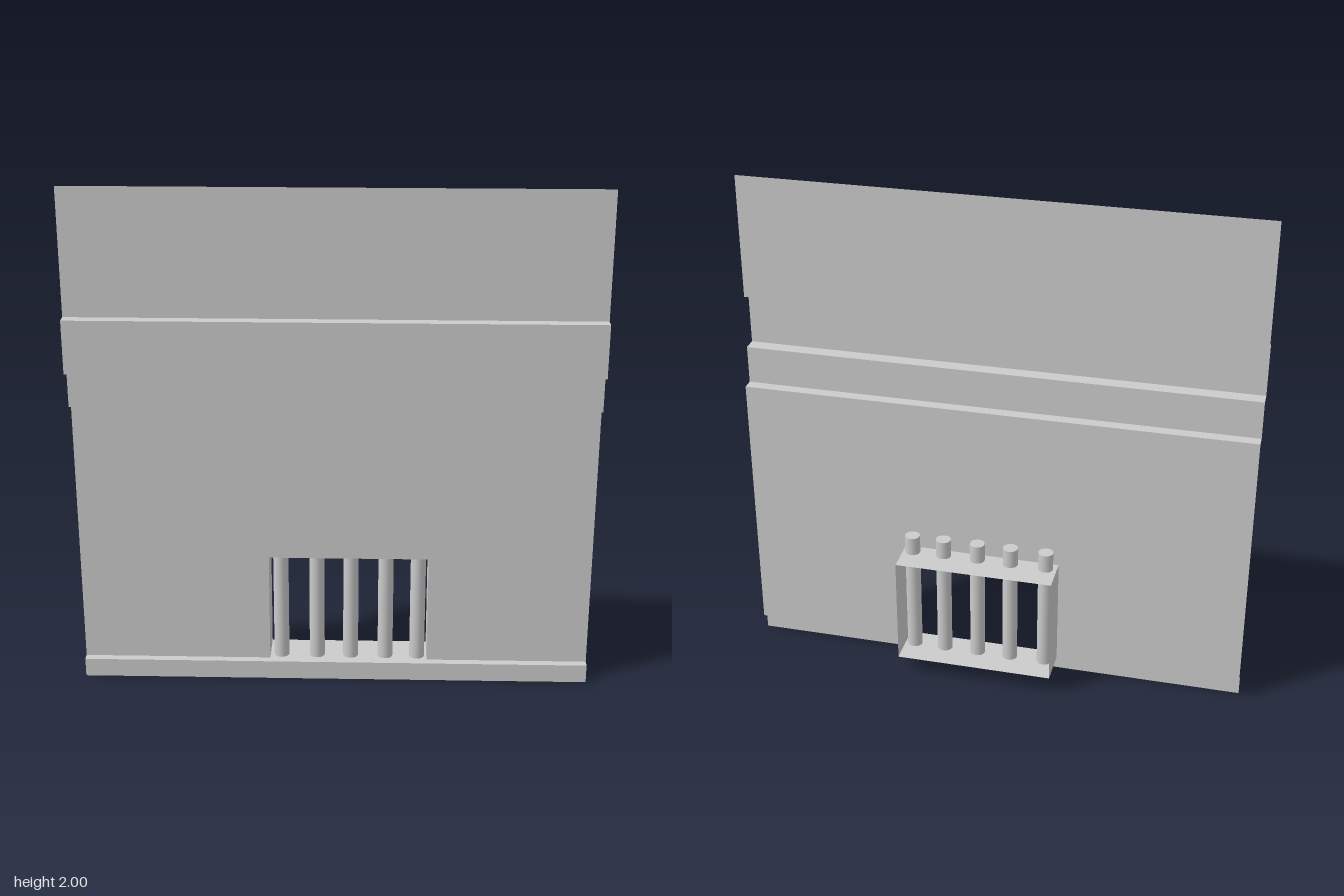
import * as THREE from 'three';

const material = new THREE.MeshStandardMaterial({ color: 0xcccccc, side: THREE.DoubleSide });

// Window opening and wall levels
const LEFT = -0.26, RIGHT = 0.365, BOTTOM = 0.075, TOP = 0.518;
const WALL_Z = 0.025, BACK_Z = -0.125, WALL_TOP = 1.155;

function add(parent, name, geometry) {
  const mesh = new THREE.Mesh(geometry, material);
  mesh.name = name;
  parent.add(mesh);
  return mesh;
}

// Horizontal moulding: one full-width strip per segment of a [z, y] profile, bottom to top
function addMoulding(parent, name, profile) {
  const moulding = new THREE.Group();
  moulding.name = name;
  for (let i = 0; i < profile.length - 1; i++) {
    const [z0, y0] = profile[i], [z1, y1] = profile[i + 1];
    const strip = add(moulding, name + 'Strip', new THREE.PlaneGeometry(2, Math.hypot(z1 - z0, y1 - y0)));
    strip.position.set(0, (y0 + y1) / 2, (z0 + z1) / 2);
    strip.rotation.x = Math.atan2(z1 - z0, y1 - y0);
  }
  parent.add(moulding);
}

export function createModel() {
  const group = new THREE.Group();
  group.name = 'barredWall';

  // Main wall sheet, notched at the bottom for the window
  const outline = new THREE.Shape([
    [-1, BOTTOM], [LEFT, BOTTOM], [LEFT, TOP], [RIGHT, TOP], [RIGHT, BOTTOM],
    [1, BOTTOM], [1, WALL_TOP], [-1, WALL_TOP],
  ].map(([x, y]) => new THREE.Vector2(x, y)));
  add(group, 'wall', new THREE.ShapeGeometry(outline)).position.z = WALL_Z;

  // Base board, stepped cornice and the upper wall
  addMoulding(group, 'baseboard', [[0.057, 0], [0.057, BOTTOM], [WALL_Z, BOTTOM]]);
  addMoulding(group, 'cornice', [
    [WALL_Z, WALL_TOP], [0.07, WALL_TOP], [0.07, 1.305],
    [0.125, 1.305], [0.125, 1.512], [0.082, 1.512],
  ]);
  addMoulding(group, 'upperWall', [[0.082, 1.512], [0.082, 2]]);

  // Window reveal: four sheets, open at front and back
  const reveal = new THREE.Group();
  reveal.name = 'windowReveal';
  const depth = WALL_Z - BACK_Z, midZ = (WALL_Z + BACK_Z) / 2;
  for (const [name, x, turn] of [['revealRight', LEFT, 1], ['revealLeft', RIGHT, -1]]) {
    const side = add(reveal, name, new THREE.PlaneGeometry(depth, TOP - BOTTOM));
    side.rotation.y = turn * Math.PI / 2;
    side.position.set(x, (TOP + BOTTOM) / 2, midZ);
  }
  for (const [name, y, turn] of [['revealSill', BOTTOM, -1], ['revealHead', TOP, 1]]) {
    const sheet = add(reveal, name, new THREE.PlaneGeometry(RIGHT - LEFT, depth));
    sheet.rotation.x = turn * Math.PI / 2;
    sheet.position.set((LEFT + RIGHT) / 2, y, midZ);
  }
  group.add(reveal);

  // Round bars running through sill and head
  const bars = new THREE.Group();
  bars.name = 'windowBars';
  const barGeometry = new THREE.CylinderGeometry(0.03, 0.03, 0.573, 16);
  for (const x of [-0.215, -0.073, 0.061, 0.199, 0.326]) {
    add(bars, 'bar', barGeometry).position.set(x, 0.306, -0.011);
  }
  group.add(bars);

  return group;
}
